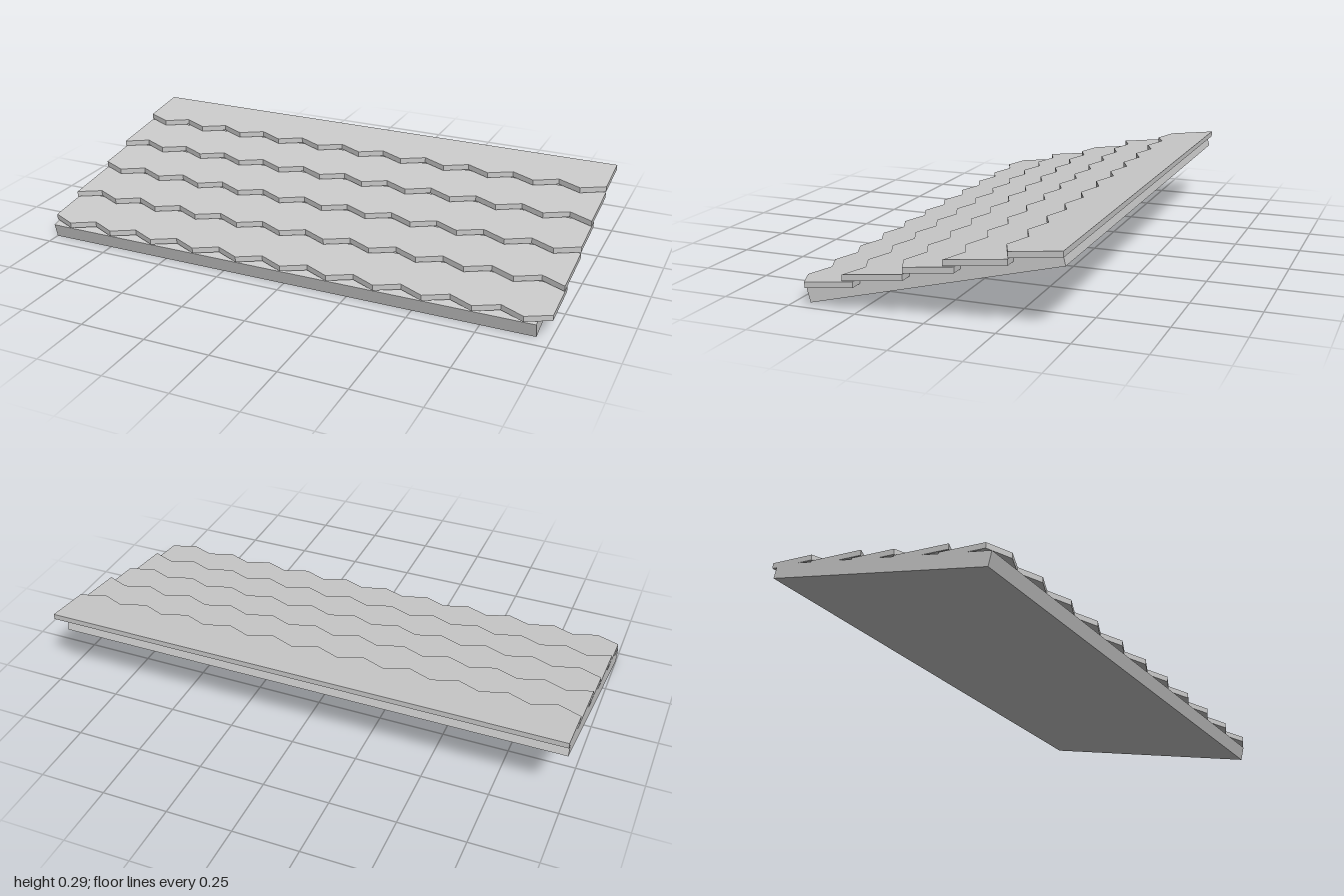
import * as THREE from 'three';

const ROWS = 5, TEETH = 11;
const TIP_Z = 0.475, STEP_Z = 0.182;      // front tip of the first row, row spacing
const TIP_Y = 0.064, STEP_Y = 0.0457;     // underside at the tip, row rise
const DEPTH = 0.222, POINT = 0.04, THICK = 0.021, SLOPE = 0.117;

// One course: zigzag front edge, straight back, tilted by a vertical shear
function shingleRow(tipFirst) {
  const shape = new THREE.Shape();
  shape.moveTo(-1, DEPTH);
  for (let i = 0; i <= TEETH * 2; i++) {
    const isTip = (i % 2 === 0) === tipFirst;
    shape.lineTo(-1 + i / TEETH, isTip ? 0 : POINT);
  }
  shape.lineTo(1, DEPTH);
  shape.closePath();
  const geo = new THREE.ExtrudeGeometry(shape, { depth: THICK, bevelEnabled: false });
  geo.rotateX(-Math.PI / 2);
  const pos = geo.attributes.position;
  for (let i = 0; i < pos.count; i++) pos.setY(i, pos.getY(i) - SLOPE * pos.getZ(i));
  geo.computeVertexNormals();
  return geo;
}

export function createModel() {
  const group = new THREE.Group();
  group.name = 'shingledRoof';
  const material = new THREE.MeshStandardMaterial({ color: 0xcccccc, flatShading: true });

  // Sloping roof board, slightly short of the shingles on the left
  const angle = Math.atan2(0.23, 0.91), thick = 0.055;
  const board = new THREE.Mesh(new THREE.BoxGeometry(1.95, thick, Math.hypot(0.91, 0.23)), material);
  board.name = 'roofBoard';
  board.rotation.x = angle;
  board.position.set(-0.025, 0.115 + Math.cos(angle) * thick / 2, -0.01 + Math.sin(angle) * thick / 2);
  group.add(board);

  // Overlapping courses, alternately offset by half a tooth
  for (let r = 0; r < ROWS; r++) {
    const row = new THREE.Mesh(shingleRow(r % 2 === 1), material);
    row.name = 'shingleRow' + (r + 1);
    row.position.set(0, TIP_Y + r * STEP_Y, TIP_Z - r * STEP_Z);
    group.add(row);
  }
  return group;
}
